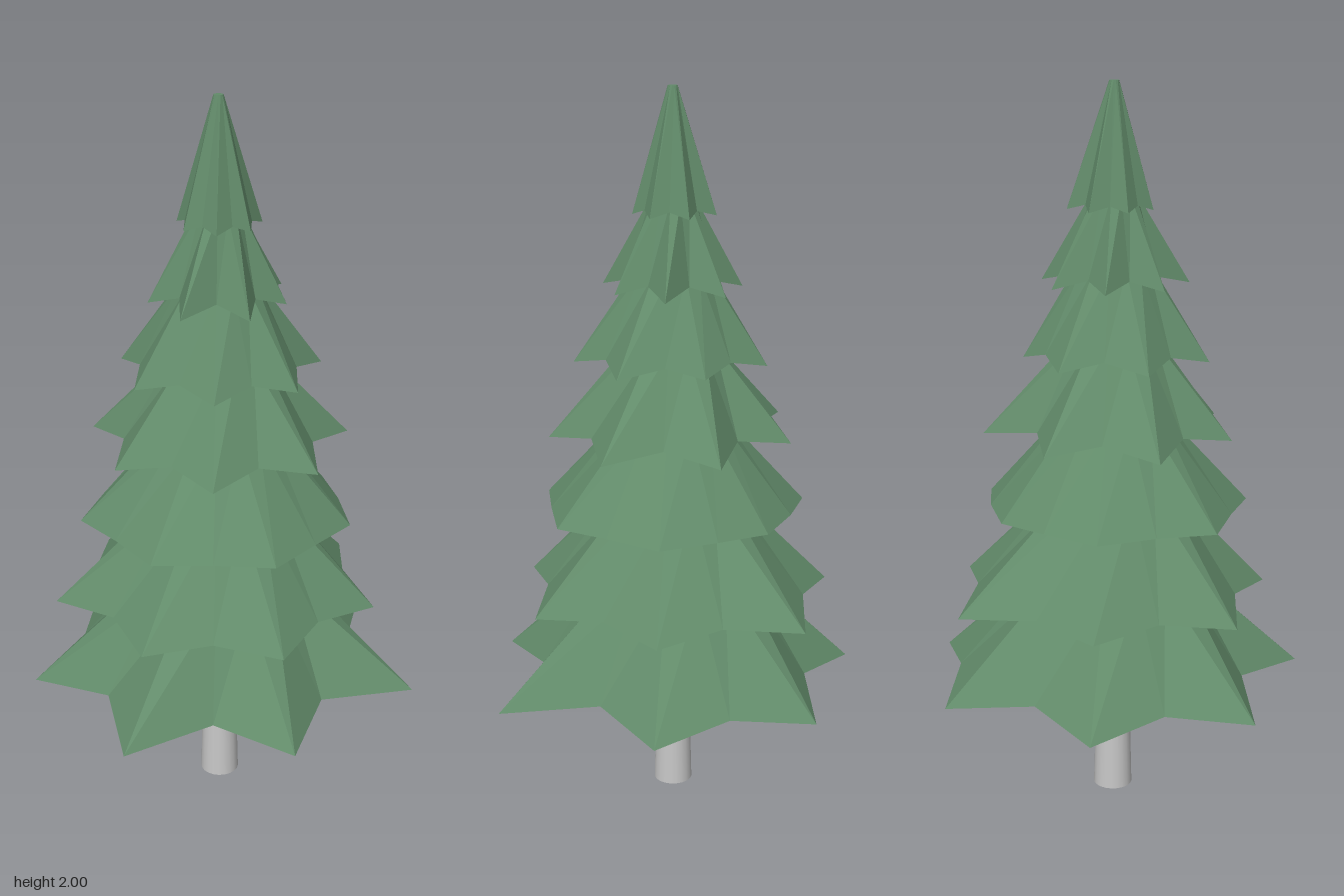
import * as THREE from 'three';

// Each tier: tip height, valley height, tip radii, valley radii (clockwise from the back), top ring height and radius.
// "turn" shifts the star by half a step so a tip faces the front.
const TIERS = [
  { tipY: 0.36, valleyY: 0.39, turn: 0, tips: [0.534, 0.517, 0.565, 0.509, 0.532, 0.533, 0.512],
    valleys: [0.434, 0.379, 0.374, 0.37, 0.38, 0.413, 0.39], topY: 0.66, topR: 0.2 },
  { tipY: 0.61, valleyY: 0.63, turn: 0, tips: [0.488, 0.444, 0.445, 0.43, 0.43, 0.462, 0.442],
    valleys: [0.38, 0.36, 0.355, 0.355, 0.355, 0.365, 0.38], topY: 0.9, topR: 0.155 },
  { tipY: 0.855, valleyY: 0.86, turn: 0, tips: [0.352, 0.37, 0.37, 0.375, 0.375, 0.385, 0.37],
    valleys: [0.34], topY: 1.11, topR: 0.14 },
  { tipY: 1.065, valleyY: 1.09, turn: 1, tips: [0.357, 0.36, 0.342, 0.339, 0.336, 0.363, 0.336],
    valleys: [0.26, 0.26, 0.26, 0.26, 0.26, 0.26, 0.24], topY: 1.32, topR: 0.12 },
  { tipY: 1.275, valleyY: 1.3, turn: 1, tips: [0.245, 0.28, 0.27, 0.268, 0.27, 0.275, 0.266],
    valleys: [0.212], topY: 1.52, topR: 0.1 },
  { tipY: 1.47, valleyY: 1.495, turn: 0, tips: [0.192, 0.208, 0.183, 0.2, 0.205, 0.188, 0.19],
    valleys: [0.125], topY: 1.71, topR: 0.06 },
  { tipY: 1.67, valleyY: 1.685, turn: 1, tips: [0.125, 0.115, 0.108, 0.114, 0.11, 0.113, 0.122],
    valleys: [0.088], topY: 2, topR: 0.013 },
];
const SIDES = 14;

// Star-shaped skirt with a closed underside and a small top cap
function tierGeometry({ tipY, valleyY, turn, tips, valleys, topY, topR }) {
  const lower = [], upper = [];
  for (let i = 0; i < SIDES; i++) {
    const a = ((i + turn) / SIDES) * Math.PI * 2;
    const k = Math.floor(i / 2);
    const isTip = i % 2 === 0;
    const r = isTip ? tips[k] : valleys[k % valleys.length];
    lower.push([Math.sin(a) * r, isTip ? tipY : valleyY, -Math.cos(a) * r]);
    upper.push([Math.sin(a) * topR, topY, -Math.cos(a) * topR]);
  }
  const under = [0, valleyY + 0.025, 0], top = [0, topY, 0];
  const pos = [];
  const tri = (...corners) => corners.forEach((c) => pos.push(...c));
  for (let i = 0; i < SIDES; i++) {
    const j = (i + 1) % SIDES;
    tri(lower[j], lower[i], upper[i]);
    tri(lower[j], upper[i], upper[j]);
    tri(under, lower[i], lower[j]);
    tri(top, upper[j], upper[i]);
  }
  const geo = new THREE.BufferGeometry();
  geo.setAttribute('position', new THREE.Float32BufferAttribute(pos, 3));
  geo.computeVertexNormals();
  return geo;
}

export function createModel() {
  const foliage = new THREE.MeshStandardMaterial({ color: 0x628b6a, flatShading: true });
  foliage.name = 'foliageGreen';
  const bark = new THREE.MeshStandardMaterial({ color: 0xc8c8c8, side: THREE.DoubleSide });
  bark.name = 'trunkGrey';

  const model = new THREE.Group();
  model.name = 'pineTree';
  const tree = new THREE.Group();
  tree.name = 'tree';
  tree.position.set(-0.017, 0, 0.023);
  model.add(tree);

  // Tapered trunk, open at the base
  const trunk = new THREE.Mesh(new THREE.CylinderGeometry(0.043, 0.055, 0.46, 20, 1, true), bark);
  trunk.name = 'trunk';
  trunk.position.y = 0.23;
  tree.add(trunk);

  // Stacked branch tiers, bottom to top
  TIERS.forEach((tier, i) => {
    const mesh = new THREE.Mesh(tierGeometry(tier), foliage);
    mesh.name = `branchTier${i + 1}`;
    tree.add(mesh);
  });
  return model;
}
